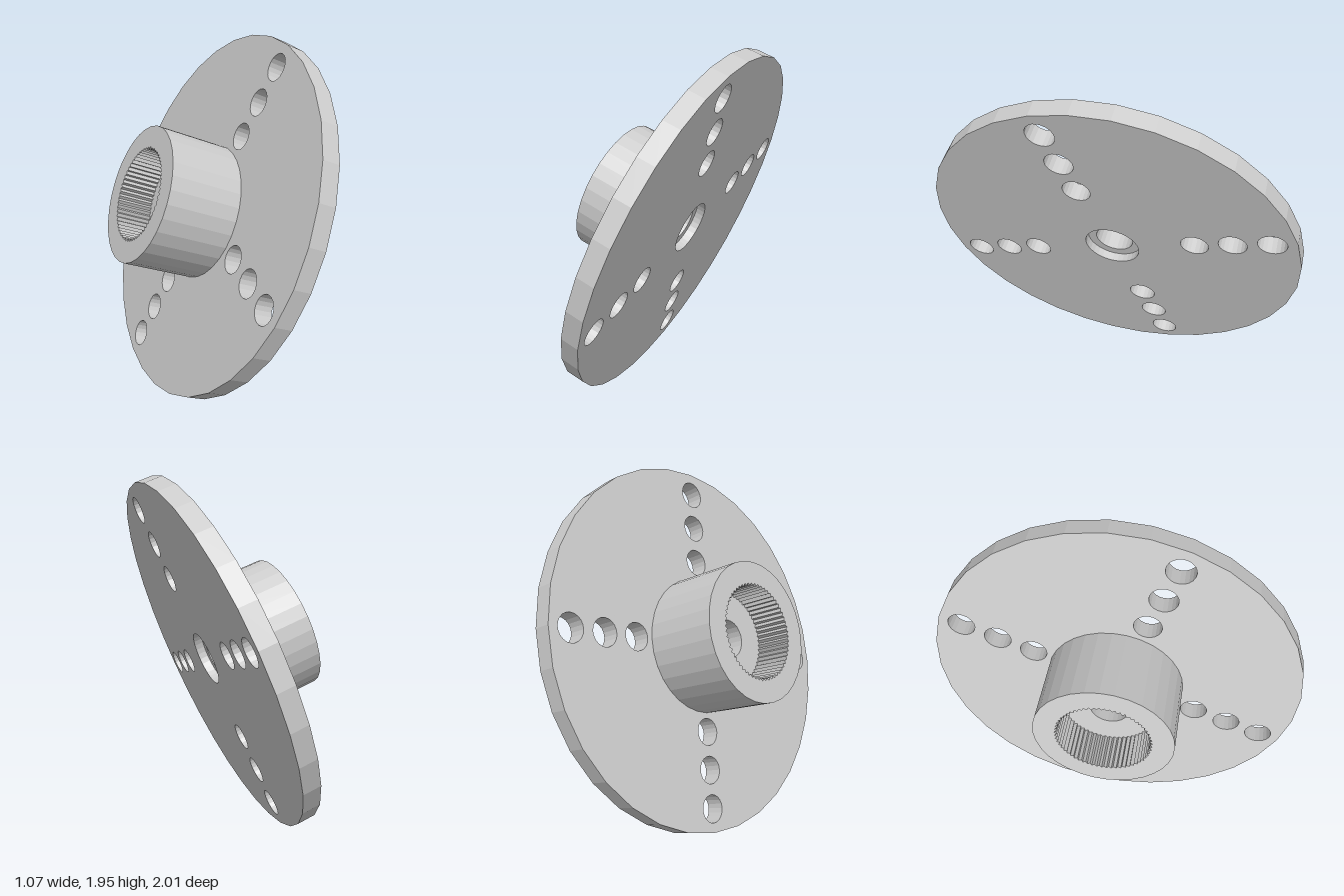
import * as THREE from 'three';
import { mergeGeometries } from 'three/addons/utils/BufferGeometryUtils.js';

const material = new THREE.MeshStandardMaterial({ color: 0xcccccc, flatShading: true });

// Closed counter-clockwise loop; radius may alternate to form teeth
function loop(r, n, cx = 0, cy = 0, r2 = r) {
  return Array.from({ length: n }, (_, i) => {
    const a = (i / n) * Math.PI * 2, q = i % 2 ? r2 : r;
    return new THREE.Vector2(cx + q * Math.cos(a), cy + q * Math.sin(a));
  });
}

// Side wall along a loop: faces outward when z0 < z1, inward when z0 > z1
function wall(pts, z0, z1) {
  const pos = [];
  pts.forEach((a, i) => {
    const b = pts[(i + 1) % pts.length];
    pos.push(a.x, a.y, z0, b.x, b.y, z0, b.x, b.y, z1);
    pos.push(a.x, a.y, z0, b.x, b.y, z1, a.x, a.y, z1);
  });
  const g = new THREE.BufferGeometry();
  g.setAttribute('position', new THREE.Float32BufferAttribute(pos, 3));
  g.computeVertexNormals();
  return g;
}

// Flat face with holes at height z, facing +z or (back) -z
function face(outer, holes, z, back = false) {
  const shape = new THREE.Shape(outer);
  shape.holes = holes.map((h) => new THREE.Path(h));
  const g = new THREE.ShapeGeometry(shape);
  if (back) g.index.array.reverse();
  const flat = g.toNonIndexed().translate(0, 0, z);
  flat.deleteAttribute('uv');
  flat.computeVertexNormals();
  return flat;
}

function part(name, geometries) {
  const mesh = new THREE.Mesh(mergeGeometries(geometries), material);
  mesh.name = name;
  return mesh;
}

export function createModel() {
  const thick = 0.1, hubEnd = -0.51, boreFloor = -0.305, recess = -0.05;
  const rim = loop(1.025, 32);
  const hub = loop(0.38, 32);
  const bore = loop(0.262, 120, 0, 0, 0.248);
  const shaft = loop(0.104, 24);
  const counterbore = loop(0.152, 32);

  // Four arms of three bolt holes
  const bolts = [];
  for (let k = 0; k < 4; k++) {
    const a = (k * Math.PI) / 2;
    for (const r of [0.485, 0.692, 0.898]) {
      bolts.push(loop(0.075, 20, r * Math.cos(a), r * Math.sin(a)));
    }
  }

  const wheel = new THREE.Group();
  wheel.name = 'flangedHub';
  wheel.add(
    part('plate', [
      face(rim, [counterbore, ...bolts], 0),
      face(rim, [hub, ...bolts], -thick, true),
      wall(rim, -thick, 0),
    ]),
    part('boltHoles', bolts.map((b) => wall(b, 0, -thick))),
    part('hub', [
      wall(hub, hubEnd, -thick),
      face(hub, [bore], hubEnd, true),
    ]),
    part('toothedBore', [
      wall(bore, boreFloor, hubEnd),
      face(bore, [shaft], boreFloor, true),
    ]),
    part('shaftHole', [
      wall(counterbore, 0, recess),
      face(counterbore, [shaft], recess),
      wall(shaft, recess, boreFloor),
    ]),
  );

  // Tilt: local y and x follow the bolt-hole arms, z is the hub axis
  const up = new THREE.Vector3(0.234, 0.896, 0.375).normalize();
  const axis = new THREE.Vector3(0.362, 0.276, -0.891).cross(up).normalize();
  const side = new THREE.Vector3().crossVectors(up, axis);
  wheel.quaternion.setFromRotationMatrix(new THREE.Matrix4().makeBasis(side, up, axis));
  wheel.position.set(0.09, 0.966, 0.012);

  const model = new THREE.Group();
  model.name = 'model';
  model.add(wheel);
  return model;
}
